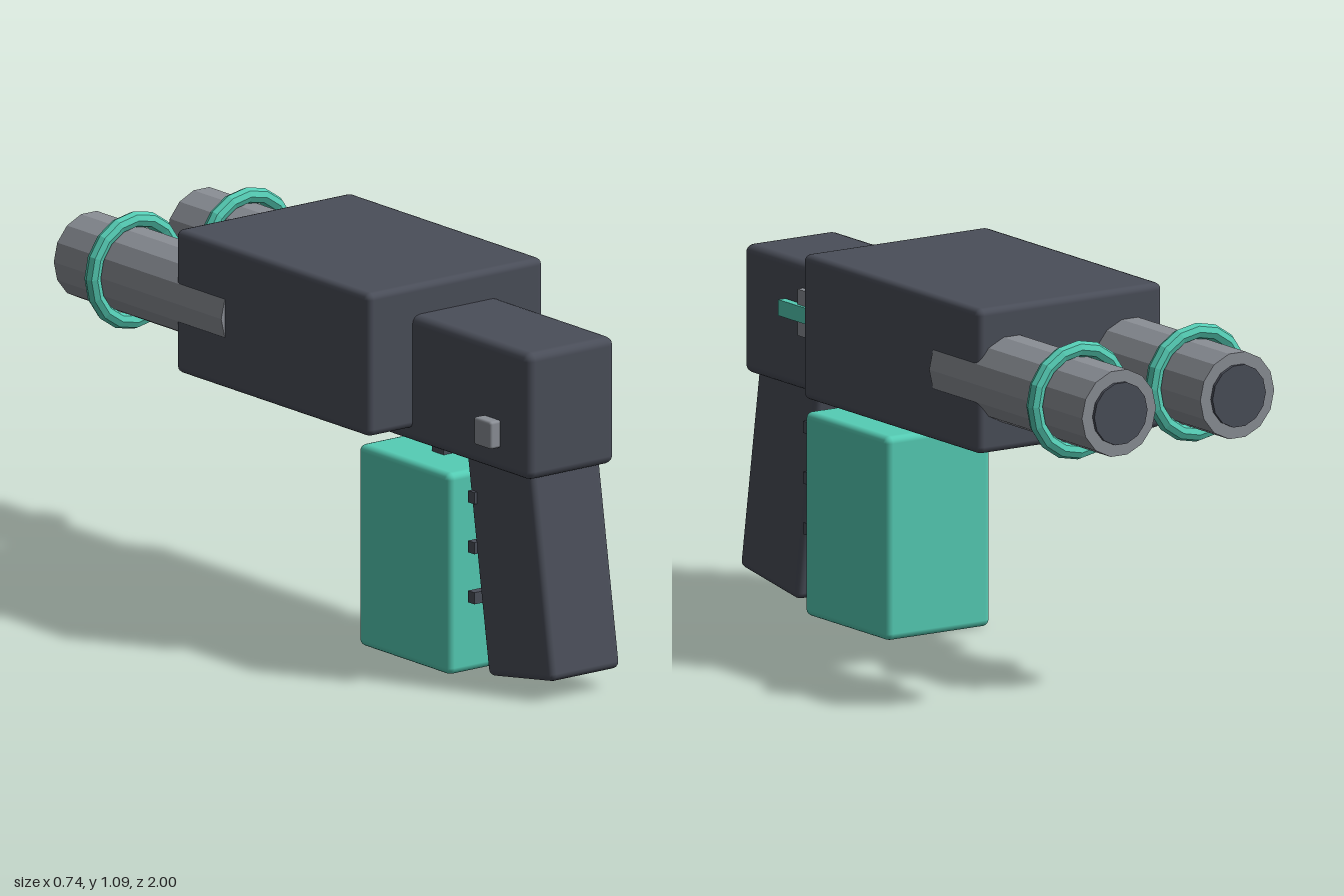
import * as THREE from 'three';
import { RoundedBoxGeometry } from 'three/addons/geometries/RoundedBoxGeometry.js';

const material = (name, color) => {
  const m = new THREE.MeshStandardMaterial({ color });
  m.name = name;
  return m;
};

export function createModel() {
  const model = new THREE.Group();
  model.name = 'doubleBarrelBlaster';
  const dark = material('charcoal', 0x4a4e59);
  const grey = material('steel grey', 0x8b8f96);
  const mint = material('mint', 0x55cdb5);

  const add = (name, geometry, mat, x, y, z) => {
    const mesh = new THREE.Mesh(geometry, mat);
    mesh.name = name;
    mesh.position.set(x, y, z);
    model.add(mesh);
    return mesh;
  };
  // Box given by its [min, max] extents, with bevelled edges when r > 0
  const box = (name, mat, [x0, x1], [y0, y1], [z0, z1], r = 0) => {
    const size = [x1 - x0, y1 - y0, z1 - z0];
    const geometry = r ? new RoundedBoxGeometry(...size, 2, r) : new THREE.BoxGeometry(...size);
    return add(name, geometry, mat, (x0 + x1) / 2, (y0 + y1) / 2, (z0 + z1) / 2);
  };
  // Faceted cylinder along z, with a corner pointing sideways
  const rod = (name, mat, r, x, y, z0, z1) => {
    const geometry = new THREE.CylinderGeometry(r, r, z1 - z0, 14, 1, false, Math.PI / 2)
      .rotateX(Math.PI / 2).toNonIndexed();
    geometry.computeVertexNormals();
    return add(name, geometry, mat, x, y, (z0 + z1) / 2);
  };

  // Main housing and receiver
  box('housing', dark, [-0.312, 0.312], [0.675, 1.09], [-0.46, 0.412], 0.02);
  box('receiver', dark, [-0.155, 0.155], [0.635, 1.003], [0.19, 0.935], 0.025);

  // Raked grip
  const grip = add('grip', new RoundedBoxGeometry(0.25, 0.7, 0.295, 2, 0.02), dark, 0, 0.386, 0.8);
  grip.rotation.x = -0.157;

  // Magazine with its links to receiver and grip
  box('magazine', mint, [-0.176, 0.176], [0.003, 0.587], [0.19, 0.603], 0.02);
  box('magazinePost', dark, [-0.06, 0.06], [0.57, 0.65], [0.38, 0.432]);
  box('trigger', dark, [-0.05, 0.05], [0.27, 0.32], [0.59, 0.72]);

  // Finger ridges across the grip front
  for (const y of [0.235, 0.38, 0.525]) {
    box('fingerRidge', dark, [-0.135, 0.135], [y - 0.017, y + 0.017], [0.637, 0.665]);
  }

  // Twin barrels with dark muzzles and rings
  for (const x of [-0.2, 0.2]) {
    rod('barrel', grey, 0.125, x, 0.88, -0.99, -0.235);
    rod('muzzle', dark, 0.09, x, 0.88, -1, -0.9);
    const ring = new THREE.TorusGeometry(0.147, 0.023, 8, 16).toNonIndexed();
    ring.computeVertexNormals();
    add('barrelRing', ring, mint, x, 0.88, -0.787);
  }

  // Side controls
  box('slidePlate', grey, [0.15, 0.174], [0.797, 0.93], [0.4, 0.637]);
  box('slideLever', mint, [0.16, 0.184], [0.84, 0.886], [0.575, 0.717]);
  box('sideButton', grey, [-0.19, -0.15], [0.706, 0.786], [0.73, 0.808], 0.008);

  return model;
}
